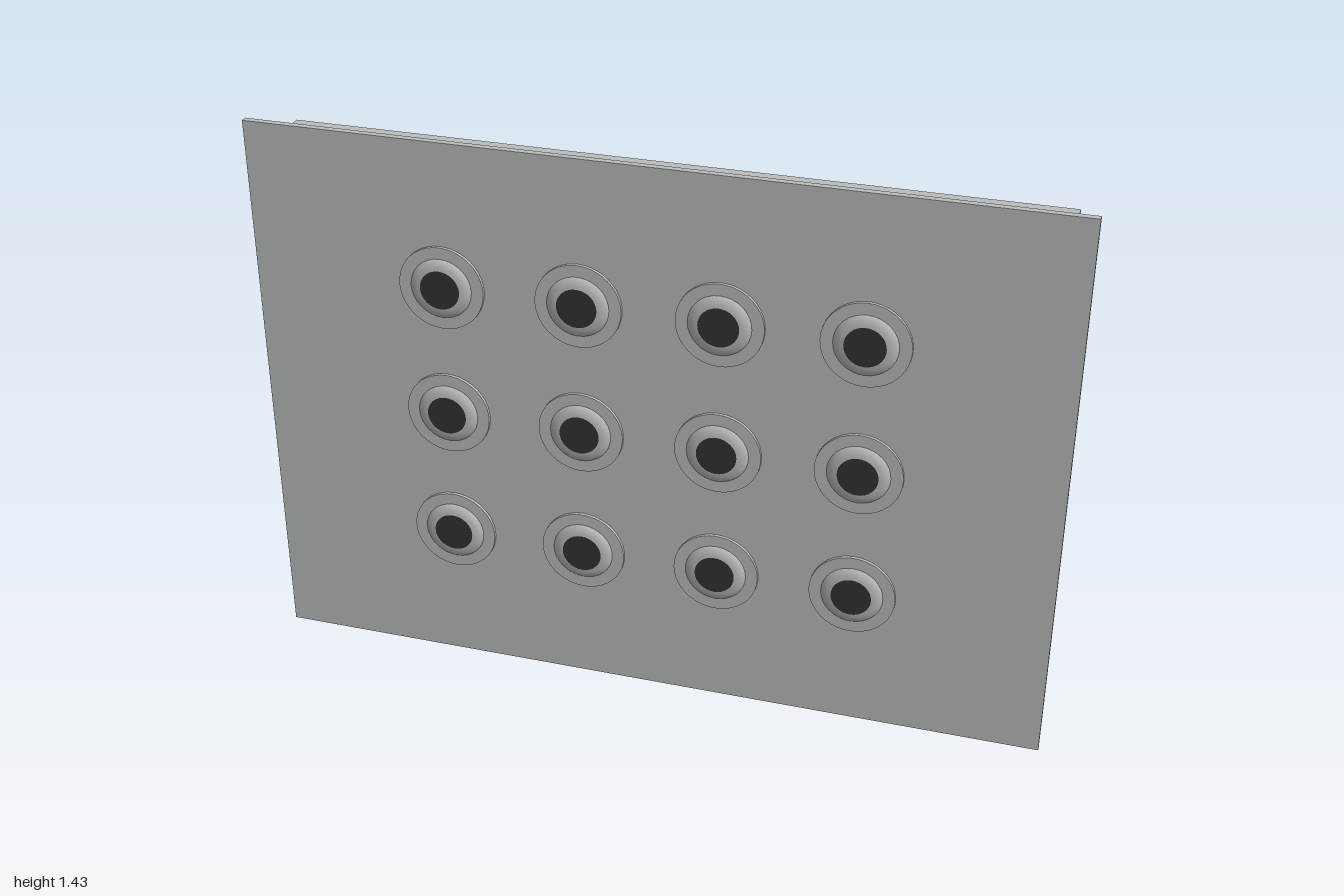
import * as THREE from 'three';

export function createModel() {
  const model = new THREE.Group();
  const grey = new THREE.MeshStandardMaterial({ color: 0xbabebc });
  grey.name = 'light grey';
  const dark = new THREE.MeshStandardMaterial({ color: 0x333333 });
  dark.name = 'charcoal';

  // Box given by its half width, vertical range and depth range
  function slab(name, halfWidth, y0, y1, z0, z1, material) {
    const mesh = new THREE.Mesh(new THREE.BoxGeometry(halfWidth * 2, y1 - y0, z1 - z0), material);
    mesh.name = name;
    mesh.position.set(0, (y0 + y1) / 2, (z0 + z1) / 2);
    model.add(mesh);
  }
  slab('facePlate', 1, 0, 1.43, 0.066, 0.083, grey);
  slab('housing', 0.945, 0.06, 1.373, -0.088, 0.066, grey);
  slab('backPanel', 0.93, 0.07, 1.362, -0.102, -0.095, dark);

  // Button parts, built along +y and turned to face +z
  const points = (list) => list.map(([r, h]) => new THREE.Vector2(r, h));
  const flangeGeo = new THREE.CylinderGeometry(0.107, 0.107, 0.008, 40);
  flangeGeo.translate(0, 0.004, 0);
  const collarGeo = new THREE.LatheGeometry(
    points([[0.077, 0.008], [0.073, 0.012], [0.066, 0.0155], [0.058, 0.018], [0.049, 0.019]]), 32);
  const capGeo = new THREE.CircleGeometry(0.05, 32);
  for (const geo of [flangeGeo, collarGeo]) geo.rotateX(Math.PI / 2);
  capGeo.translate(0, 0, 0.0192);

  // Grid of four columns and three rows
  for (const y of [0.375, 0.717, 1.06]) {
    for (const x of [-0.515, -0.172, 0.172, 0.515]) {
      const button = new THREE.Group();
      button.name = 'button';
      const parts = [['flange', flangeGeo, grey], ['collar', collarGeo, grey], ['cap', capGeo, dark]];
      for (const [name, geo, material] of parts) {
        const mesh = new THREE.Mesh(geo, material);
        mesh.name = name;
        button.add(mesh);
      }
      button.position.set(x, y, 0.083);
      model.add(button);
    }
  }
  return model;
}
